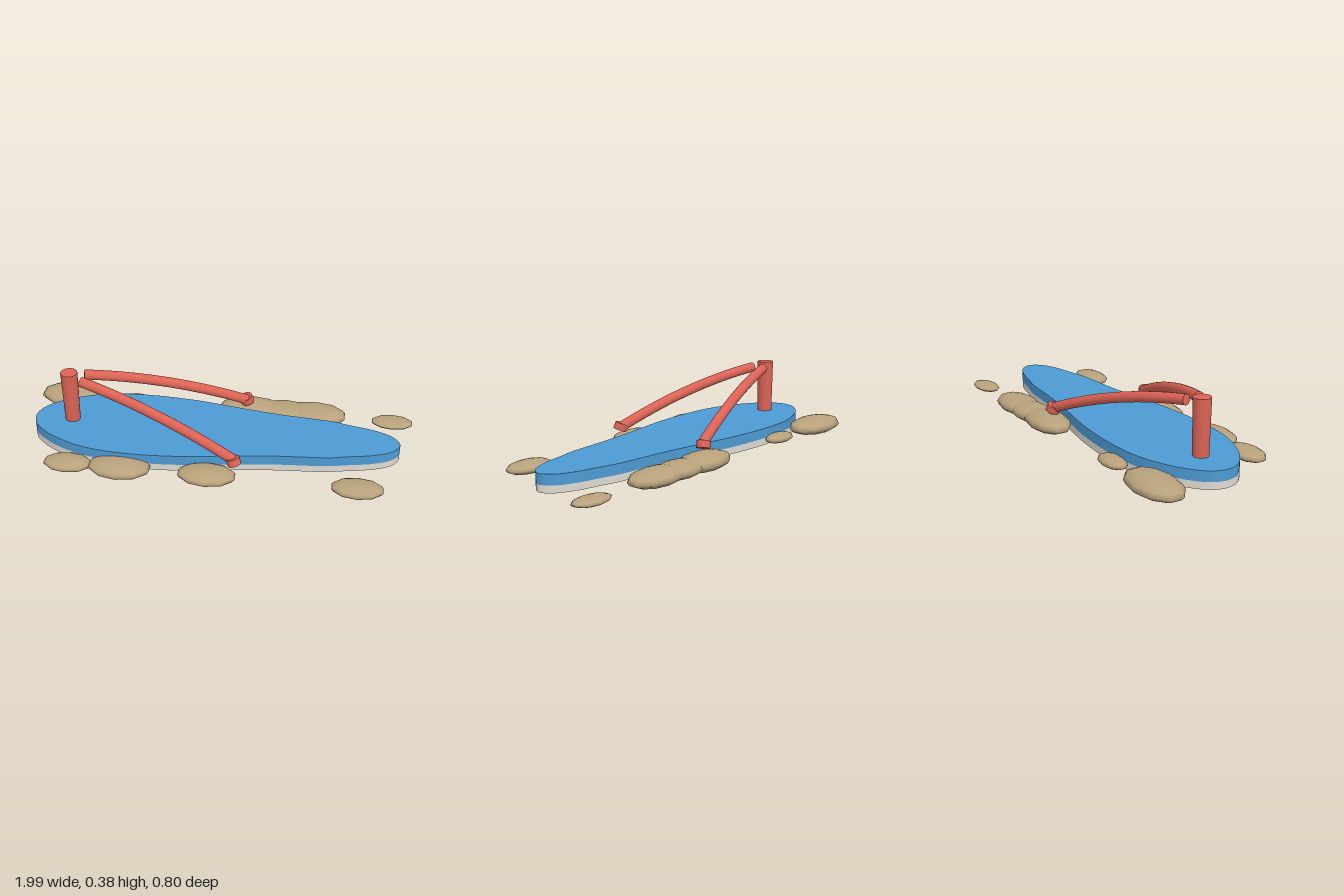
import * as THREE from 'three';

const material = (name, color) => {
  const m = new THREE.MeshStandardMaterial({ color });
  m.name = name;
  return m;
};

export function createModel() {
  const group = new THREE.Group();
  const blue = material('blue foam', 0x4d9bd3);
  const white = material('pale rubber', 0xdedbd2);
  const red = material('red strap', 0xdb6355);
  const sand = material('sand', 0xb8a27c);

  const add = (parent, name, geometry, mat) => {
    const mesh = new THREE.Mesh(geometry, mat);
    mesh.name = name;
    parent.add(mesh);
    return mesh;
  };

  // Sole outline: half profile from toe to heel, mirrored across the long axis
  const half = [
    [-0.93, 0.07], [-0.86, 0.14], [-0.75, 0.203], [-0.6, 0.25], [-0.4, 0.266], [-0.15, 0.252],
    [0.1, 0.212], [0.3, 0.183], [0.58, 0.157], [0.66, 0.138], [0.8, 0.105], [0.89, 0.06],
  ];
  const outline = [[-0.95, 0], ...half, [0.925, 0], ...half.map(([x, z]) => [x, -z]).reverse()]
    .map(([x, z]) => new THREE.Vector3(x, z, 0));
  const curve = new THREE.CatmullRomCurve3(outline, true, 'centripetal');
  const shape = new THREE.Shape(curve.getPoints(120).slice(0, -1).map(p => new THREE.Vector2(p.x, p.y)));

  const slab = (name, y0, y1, mat) => {
    const geometry = new THREE.ExtrudeGeometry(shape, { depth: y1 - y0, bevelEnabled: false });
    geometry.rotateX(-Math.PI / 2);
    add(group, name, geometry, mat).position.y = y0;
  };
  slab('outsole', 0.014, 0.05, white);
  slab('footbed', 0.05, 0.102, blue);

  // Toe post
  add(group, 'toePost', new THREE.CylinderGeometry(0.043, 0.039, 0.277, 24), red)
    .position.set(-0.755, 0.2385, 0);

  // Mirrored curved straps with a collar where each meets the sole
  const up = new THREE.Vector3(0, 1, 0);
  const forward = new THREE.Vector3(0, 0, 1);
  for (const side of [1, -1]) {
    const strap = new THREE.Group();
    strap.name = side > 0 ? 'frontStrap' : 'backStrap';
    group.add(strap);
    const path = new THREE.QuadraticBezierCurve3(
      new THREE.Vector3(-0.685, 0.35, side * 0.035),
      new THREE.Vector3(-0.28, 0.298, side * 0.155),
      new THREE.Vector3(0.12, 0.122, side * 0.268),
    );
    add(strap, 'strapBand', new THREE.TubeGeometry(path, 24, 0.026, 16, false), red);
    const cap = add(strap, 'strapEnd', new THREE.CircleGeometry(0.026, 16), red);
    cap.position.copy(path.getPoint(0));
    cap.quaternion.setFromUnitVectors(forward, path.getTangent(0).negate());
    const collar = add(strap, 'strapCollar', new THREE.CylinderGeometry(0.034, 0.034, 0.036, 20), red);
    collar.position.set(0.12, 0.12, side * 0.276);
    collar.quaternion.setFromUnitVectors(up, new THREE.Vector3(-0.35, 1, -0.2 * side).normalize());
  }

  // Flattened sand mounds: x, y, z, then half sizes along x, y, z
  const mounds = [
    [-0.82, 0.05, -0.293, 0.189, 0.046, 0.108],
    [-0.483, 0.042, -0.295, 0.1, 0.026, 0.057],
    [0.145, 0.047, -0.297, 0.175, 0.047, 0.1],
    [0.325, 0.045, -0.295, 0.165, 0.043, 0.095],
    [0.475, 0.045, -0.295, 0.174, 0.044, 0.099],
    [0.89, 0.033, -0.295, 0.11, 0.02, 0.062],
    [-0.71, 0.04, 0.298, 0.124, 0.03, 0.073],
    [-0.447, 0.043, 0.298, 0.16, 0.038, 0.097],
    [-0.01, 0.042, 0.3, 0.148, 0.034, 0.087],
    [0.725, 0.036, 0.297, 0.131, 0.031, 0.076],
  ];
  const blob = new THREE.SphereGeometry(1, 10, 8).rotateY(Math.PI / 2);
  mounds.forEach(([x, y, z, sx, sy, sz], i) => {
    const mound = add(group, `sandMound${i + 1}`, blob, sand);
    mound.position.set(x, y, z);
    mound.scale.set(sx, sy, sz);
  });

  return group;
}
